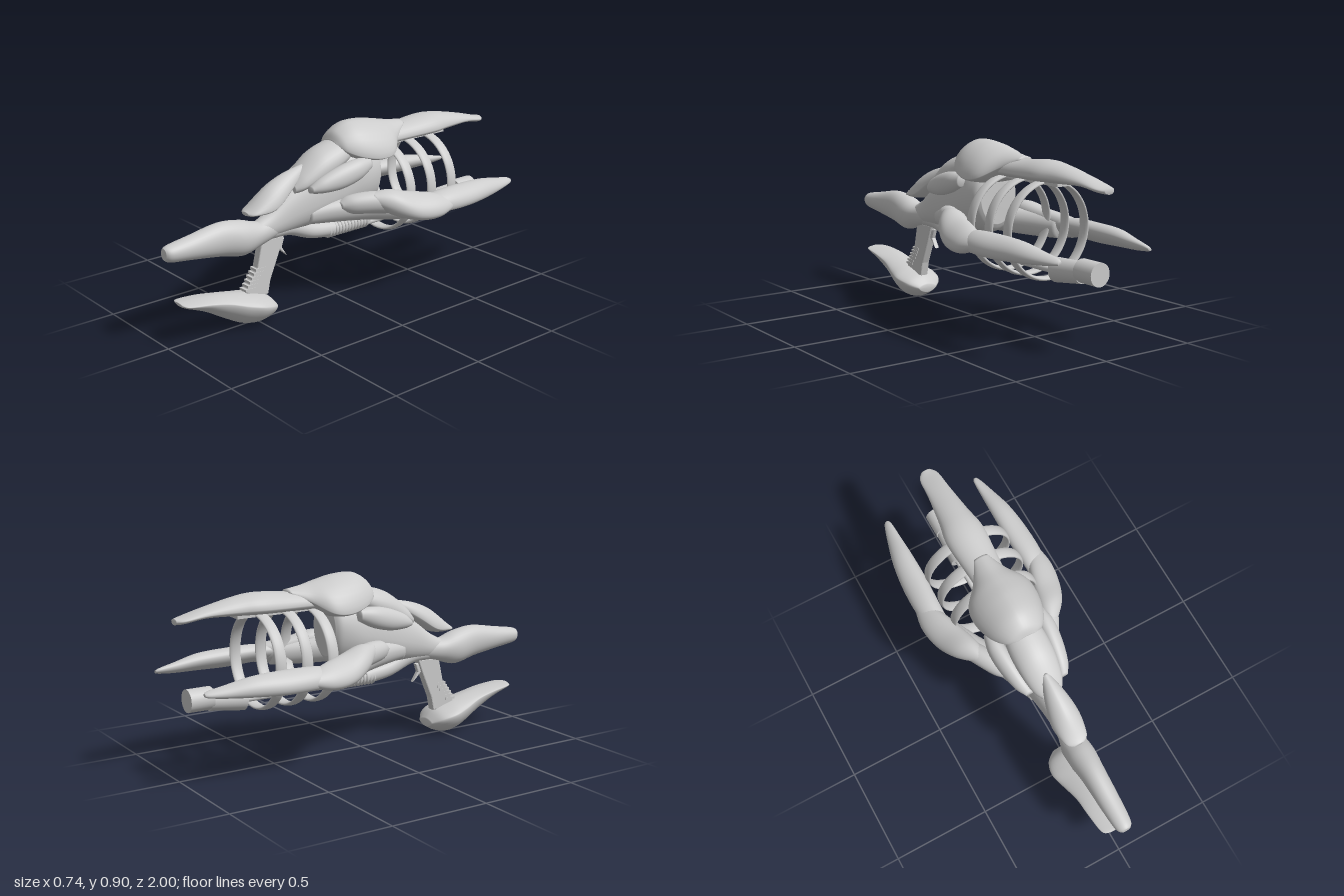
import * as THREE from 'three';

const grey = new THREE.MeshStandardMaterial({ color: 0xcccccc });
grey.name = 'light grey';

// Smooth closed loft running front to back.
// Each section: [z, centre x, top y, widest y, bottom y, half width]
function loftGeometry(sections, side = 1, roll = 0, power = 1, sides = 32, steps = 6) {
  const first = sections[0], last = sections[sections.length - 1];
  const spline = (a, b, c, d, t) => 0.5 * (2 * b + (c - a) * t +
    (2 * a - 5 * b + 4 * c - d) * t * t + (3 * b - a - 3 * c + d) * t * t * t);
  const rows = [[first[0], first[1], first[3], first[3], first[3], 0]];
  for (let i = 0; i < sections.length - 1; i++) {
    const p = [i - 1, i, i + 1, i + 2].map(k => sections[THREE.MathUtils.clamp(k, 0, sections.length - 1)]);
    for (let k = 0; k < steps; k++)
      rows.push(first.map((_, c) => spline(p[0][c], p[1][c], p[2][c], p[3][c], k / steps)));
  }
  rows.push(last, [last[0], last[1], last[3], last[3], last[3], 0]);
  const pos = [], idx = [];
  const cr = Math.cos(roll * side), sr = Math.sin(roll * side);
  const curve = v => Math.sign(v) * Math.abs(v) ** power;
  rows.forEach(([z, cx, top, mid, bot, hw], i) => {
    for (let j = 0; j < sides; j++) {
      const a = (j / sides) * Math.PI * 2;
      const x = hw * curve(Math.cos(a)), s = curve(Math.sin(a));
      const y = s * (s > 0 ? top - mid : mid - bot);
      pos.push(cx * side + x * cr - y * sr, mid + x * sr + y * cr, z);
      if (i < rows.length - 1) {
        const n = (j + 1) % sides, p = i * sides, q = p + sides;
        idx.push(p + j, q + j, p + n, p + n, q + j, q + n);
      }
    }
  });
  const g = new THREE.BufferGeometry();
  g.setAttribute('position', new THREE.Float32BufferAttribute(pos, 3));
  g.setIndex(idx);
  g.computeVertexNormals();
  return g;
}

export function createModel() {
  const model = new THREE.Group();
  const add = (name, geometry, x = 0, y = 0, z = 0) => {
    const m = new THREE.Mesh(geometry, grey);
    m.name = name;
    m.position.set(x, y, z);
    model.add(m);
    return m;
  };
  const loft = (name, ...args) => add(name, loftGeometry(...args));
  // Cylinder lying along z; r1 at the front end, r2 at the rear end
  const rod = (name, r1, r2, zFront, zBack, x, y) =>
    add(name, new THREE.CylinderGeometry(r1, r2, zFront - zBack, 28).rotateX(Math.PI / 2), x, y, (zFront + zBack) / 2);

  // Central hull and shoulder stock
  loft('stock', [
    [1.0, 0, 0.495, 0.47, 0.44, 0.022], [0.97, 0, 0.507, 0.47, 0.425, 0.042],
    [0.86, 0, 0.525, 0.47, 0.41, 0.052], [0.7, 0, 0.55, 0.47, 0.385, 0.06],
    [0.58, 0, 0.535, 0.45, 0.36, 0.07], [0.48, 0, 0.505, 0.45, 0.385, 0.058],
    [0.38, 0, 0.52, 0.46, 0.41, 0.045]]);
  loft('hull', [
    [0.52, 0, 0.49, 0.45, 0.41, 0.04], [0.42, 0, 0.54, 0.47, 0.41, 0.05],
    [0.3, 0, 0.63, 0.51, 0.415, 0.066], [0.15, 0, 0.72, 0.55, 0.425, 0.095],
    [0, 0, 0.78, 0.59, 0.435, 0.12], [-0.1, 0, 0.8, 0.62, 0.445, 0.135],
    [-0.18, 0, 0.79, 0.64, 0.46, 0.125], [-0.21, 0, 0.76, 0.64, 0.5, 0.1]]);

  // Overlapping armour along the back
  loft('frontShell', [
    [0.55, 0, 0.567, 0.557, 0.55, 0.025], [0.52, 0, 0.585, 0.56, 0.545, 0.058],
    [0.42, 0, 0.665, 0.575, 0.55, 0.076], [0.32, 0, 0.71, 0.64, 0.61, 0.058],
    [0.21, 0, 0.735, 0.71, 0.69, 0.02]], 1, 0, 1.1);
  loft('middleShell', [
    [0.29, 0, 0.655, 0.63, 0.6, 0.05], [0.24, 0, 0.71, 0.65, 0.61, 0.08],
    [0.14, 0, 0.785, 0.7, 0.64, 0.1], [0.03, 0, 0.82, 0.74, 0.68, 0.1],
    [-0.06, 0, 0.83, 0.78, 0.72, 0.08]]);
  loft('topHood', [
    [0.035, 0, 0.82, 0.805, 0.79, 0.05], [0.01, 0, 0.865, 0.78, 0.76, 0.1],
    [-0.06, 0, 0.9, 0.75, 0.72, 0.145], [-0.16, 0, 0.898, 0.73, 0.7, 0.17],
    [-0.25, 0, 0.88, 0.74, 0.715, 0.16], [-0.33, 0, 0.862, 0.79, 0.77, 0.09],
    [-0.42, 0, 0.848, 0.835, 0.825, 0.035]], 1, 0, 1.15);
  loft('topProng', [
    [-0.15, 0, 0.82, 0.77, 0.74, 0.07], [-0.4, 0, 0.835, 0.775, 0.745, 0.088],
    [-0.58, 0, 0.85, 0.78, 0.748, 0.1], [-0.7, 0, 0.838, 0.78, 0.752, 0.08],
    [-0.85, 0, 0.805, 0.775, 0.757, 0.06], [-0.96, 0, 0.775, 0.76, 0.742, 0.05],
    [-1.0, 0, 0.768, 0.755, 0.74, 0.025]]);
  add('topRail', new THREE.BoxGeometry(0.08, 0.02, 0.46), 0, 0.75, -0.47);

  // Side arms and pads, mirrored
  for (const s of [1, -1]) {
    const p = s > 0 ? 'left' : 'right';
    loft(p + 'ShoulderPad', [
      [0.235, 0.095, 0.645, 0.63, 0.615, 0.02], [0.18, 0.112, 0.685, 0.645, 0.61, 0.034],
      [0.08, 0.128, 0.725, 0.67, 0.615, 0.042], [-0.02, 0.135, 0.745, 0.695, 0.64, 0.042],
      [-0.1, 0.135, 0.74, 0.71, 0.68, 0.025]], s, 0.2);
    loft(p + 'ArmRoot', [
      [0.22, 0.04, 0.53, 0.49, 0.44, 0.04], [0.1, 0.075, 0.55, 0.5, 0.435, 0.055],
      [-0.05, 0.135, 0.56, 0.5, 0.43, 0.06], [-0.2, 0.215, 0.55, 0.49, 0.42, 0.06],
      [-0.36, 0.275, 0.53, 0.48, 0.42, 0.045]], s);
    loft(p + 'ArmLobe', [
      [0.075, 0.12, 0.54, 0.525, 0.505, 0.022], [0.03, 0.14, 0.57, 0.53, 0.48, 0.045],
      [-0.06, 0.18, 0.582, 0.53, 0.472, 0.056], [-0.14, 0.22, 0.575, 0.525, 0.467, 0.054],
      [-0.2, 0.25, 0.54, 0.515, 0.48, 0.03]], s);
    loft(p + 'ArmPlate', [
      [-0.06, 0.2, 0.575, 0.55, 0.53, 0.03], [-0.15, 0.24, 0.58, 0.525, 0.47, 0.072],
      [-0.26, 0.28, 0.545, 0.495, 0.44, 0.085], [-0.38, 0.308, 0.525, 0.48, 0.43, 0.072],
      [-0.49, 0.325, 0.5, 0.48, 0.46, 0.03]], s, -0.65);
    loft(p + 'ArmProng', [
      [-0.33, 0.285, 0.51, 0.48, 0.45, 0.05], [-0.45, 0.295, 0.53, 0.48, 0.445, 0.065],
      [-0.6, 0.293, 0.53, 0.48, 0.44, 0.068], [-0.75, 0.285, 0.525, 0.48, 0.445, 0.057],
      [-0.88, 0.272, 0.5, 0.475, 0.45, 0.037], [-0.96, 0.262, 0.485, 0.472, 0.458, 0.022],
      [-0.985, 0.26, 0.477, 0.47, 0.463, 0.01]], s, -0.5);
    add(p + 'ArmBoss', new THREE.SphereGeometry(1, 20, 12).scale(0.018, 0.022, 0.035), 0.338 * s, 0.475, -0.295);
  }

  // Flat hoops joining the three prongs
  for (const z of [-0.3, -0.44, -0.58])
    add('hoop', new THREE.TorusGeometry(0.226, 0.01, 12, 72).scale(1, 1, 3), 0, 0.525, z);

  // Feed hose, ribbed sleeve, rods and muzzle
  add('hose', new THREE.TubeGeometry(new THREE.CatmullRomCurve3([
    [0.42, 0.44], [0.3, 0.435], [0.16, 0.385], [0.03, 0.365]].map(([z, y]) => new THREE.Vector3(0, y, z))), 24, 0.04, 20));
  rod('sleeve', 0.036, 0.036, 0.07, -0.2, 0, 0.363);
  for (let i = 0; i < 13; i++)
    add('sleeveRib', new THREE.TorusGeometry(0.034, 0.008, 8, 28), 0, 0.363, 0.06 - i * 0.02);
  for (const [x, y] of [[-0.022, 0.352], [0.022, 0.352], [0, 0.383]])
    rod('barrelRod', 0.014, 0.014, -0.18, -0.68, x, y);
  rod('muzzleFlare', 0.058, 0.05, -0.66, -0.84, 0, 0.362).rotation.x = 0.09;
  rod('muzzle', 0.055, 0.055, -0.83, -0.95, 0, 0.38);

  // Grip, finger ridges and trigger: side outlines given as [z, y]
  const slab = (name, pts, width) => {
    const shape = new THREE.Shape(pts.map(([z, y]) => new THREE.Vector2(z, y)));
    const b = 0.006;
    add(name, new THREE.ExtrudeGeometry(shape, {
      depth: width - 2 * b, bevelThickness: b, bevelSize: b, bevelOffset: -b, bevelSegments: 2
    }).translate(0, 0, b - width / 2).rotateY(-Math.PI / 2));
  };
  slab('grip', [[0.47, 0.41], [0.34, 0.41], [0.37, 0.33], [0.425, 0.2], [0.44, 0.13], [0.57, 0.13], [0.565, 0.18], [0.5, 0.28]], 0.046);
  for (let i = 0; i < 6; i++)
    add('gripRidge', new THREE.BoxGeometry(0.05, 0.012, 0.06), 0, 0.18 + i * 0.018, 0.545 - i * 0.0125);
  slab('trigger', [[0.38, 0.39], [0.33, 0.39], [0.345, 0.345], [0.315, 0.295], [0.365, 0.34]], 0.024);

  // Keeled foot below the grip
  loft('foot', [
    [0.935, 0, 0.215, 0.208, 0.2, 0.03], [0.91, 0, 0.215, 0.205, 0.185, 0.064],
    [0.8, 0, 0.208, 0.19, 0.135, 0.078], [0.7, 0, 0.195, 0.165, 0.075, 0.084],
    [0.6, 0, 0.175, 0.13, 0.02, 0.106], [0.52, 0, 0.155, 0.11, 0.003, 0.122],
    [0.45, 0, 0.13, 0.09, 0.02, 0.1], [0.405, 0, 0.085, 0.068, 0.045, 0.05]], 1, 0, 1.2);

  return model;
}
